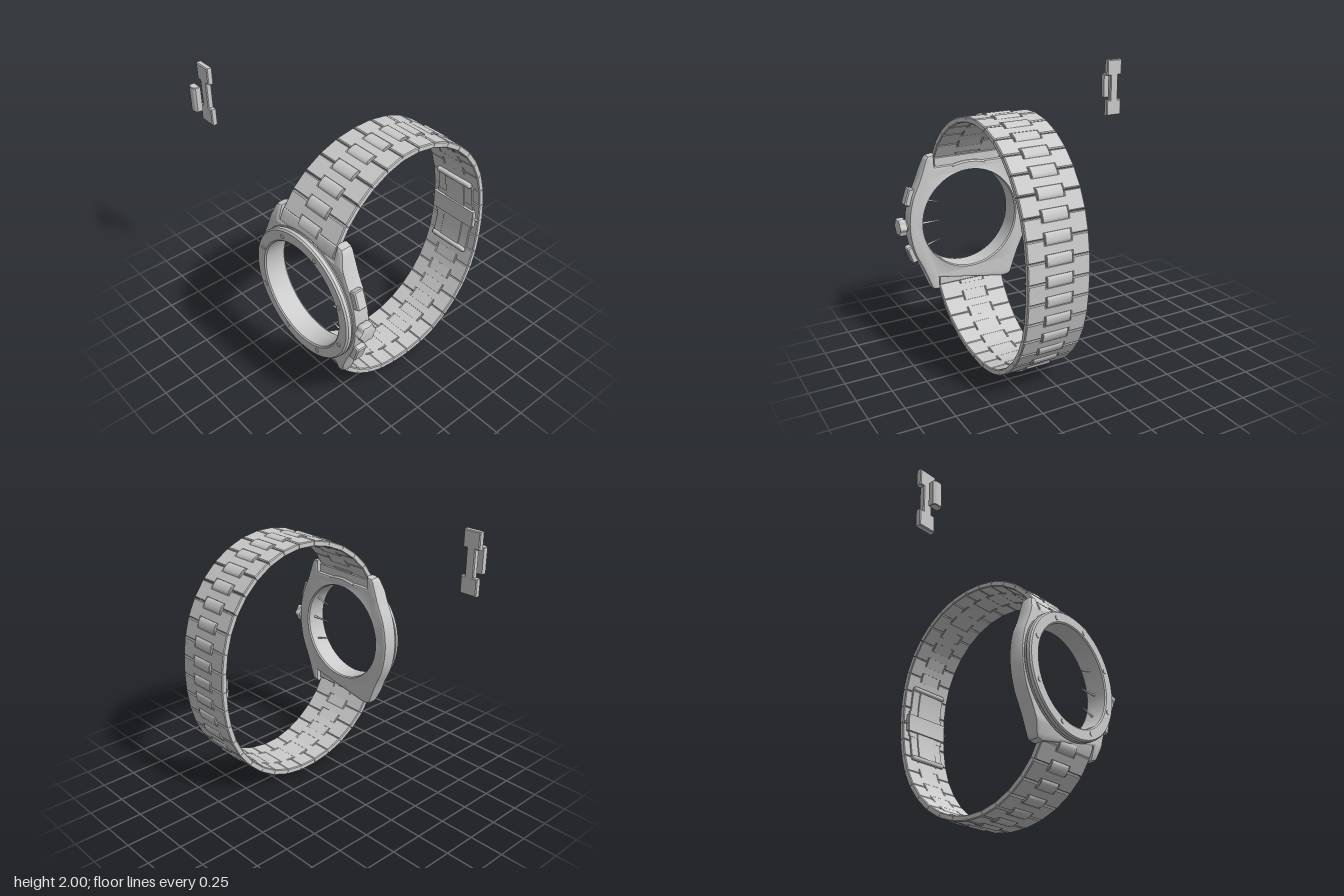
import * as THREE from 'three';
import { toCreasedNormals } from 'three/addons/utils/BufferGeometryUtils.js';

const CX = 0.37, CY = 0.91; // watch centre
const grey = new THREE.MeshStandardMaterial({ color: 0xcccccc });

function add(parent, name, geometry, crease = 0.5) {
  const mesh = new THREE.Mesh(toCreasedNormals(geometry, crease), grey);
  mesh.name = name;
  parent.add(mesh);
  return mesh;
}

const polygon = pts => new THREE.Shape(pts.map(p => new THREE.Vector2(p[0], p[1])));

// Extrusion centred on z = 0 with a bevel that stays inside the outline
function slab(shape, depth, bevel, curveSegments = 12, bevelSegments = 1) {
  const g = new THREE.ExtrudeGeometry(shape, {
    depth: depth - 2 * bevel, bevelEnabled: bevel > 0, bevelThickness: bevel, bevelSize: bevel,
    bevelOffset: -bevel, bevelSegments, curveSegments,
  });
  return g.translate(0, 0, -(depth / 2 - bevel));
}

// Side profile given as [z, y], extruded across x
function across(profile, width, bevel = 0.004) {
  return slab(polygon(profile.map(([z, y]) => [-z, y])), width, bevel)
    .rotateY(Math.PI / 2).translate(CX, 0, 0);
}

// H-shaped bracelet link, its length along y and its width along x
const NOTCH = 0.095, BAR = 0.034;
function linkGeometry(len, w0, w1) {
  const h = len / 2 - 0.0015;
  return slab(polygon([
    [-w0, -h], [-NOTCH, -h], [-NOTCH, -BAR], [NOTCH, -BAR], [NOTCH, -h], [w0, -h],
    [w1, h], [NOTCH, h], [NOTCH, BAR], [-NOTCH, BAR], [-NOTCH, h], [-w1, h],
  ]), 0.042, 0.006);
}

// Small centre link with a domed outer face
function centreLinkGeometry(len) {
  const h = len / 2;
  return slab(polygon([
    [-0.024, -h], [0.014, -h], [0.023, -h + 0.009], [0.028, -h + 0.024],
    [0.028, h - 0.024], [0.023, h - 0.009], [0.014, h], [-0.024, h],
  ]), 0.184, 0.004).rotateY(-Math.PI / 2);
}

function buildCase() {
  const group = new THREE.Group();
  group.name = 'watchCase';
  group.position.set(CX, CY, 0);

  // Middle case with four lugs
  const side = new THREE.CatmullRomCurve3([
    [0.33, 0.495], [0.385, 0.345], [0.452, 0.19], [0.48, 0],
    [0.452, -0.19], [0.385, -0.345], [0.33, -0.495],
  ].map(p => new THREE.Vector3(p[0], p[1], 0))).getPoints(36).map(p => [p.x, p.y]);
  const half = [[0.265, 0.525], [0.315, 0.515], ...side, [0.315, -0.515], [0.265, -0.525], [0.265, -0.43]];
  const shape = polygon([[0.265, 0.43], ...half, ...half.map(([x, y]) => [-x, -y]), [-0.265, 0.43]].slice(0, -1));
  shape.holes.push(new THREE.Path().absarc(0, 0, 0.4, 0, Math.PI * 2, true));
  const body = slab(shape, 0.118, 0.02, 48, 2).translate(0, 0, 0.636);
  const pos = body.attributes.position;
  for (let i = 0; i < pos.count; i++) { // lug tips slope back
    const t = Math.max(0, Math.abs(pos.getY(i)) - 0.41) / 0.115;
    if (pos.getZ(i) > 0.64) pos.setZ(i, pos.getZ(i) - 0.035 * t);
  }
  add(group, 'middleCase', body, 0.4);

  // Bezel with its inner wall reaching the case back
  const ring = [
    [0.385, 0.578], [0.435, 0.578], [0.445, 0.59], [0.445, 0.69], [0.465, 0.694], [0.465, 0.7],
    [0.458, 0.703], [0.458, 0.71], [0.465, 0.713], [0.463, 0.735], [0.453, 0.746],
    [0.384, 0.746], [0.374, 0.738], [0.374, 0.59], [0.385, 0.578],
  ].map(p => new THREE.Vector2(p[0], p[1]));
  add(group, 'bezel', new THREE.LatheGeometry(ring, 96).rotateX(Math.PI / 2).scale(1, 1, 1));
  for (let i = 0; i < 8; i++) {
    const a = Math.PI / 8 + i * Math.PI / 4;
    add(group, 'bezelScrew', new THREE.CylinderGeometry(0.016, 0.018, 0.01, 20).rotateX(Math.PI / 2))
      .position.set(0.412 * Math.cos(a), 0.412 * Math.sin(a), 0.745);
  }

  // Scalloped crown and its stem
  const lobes = [];
  for (let i = 0; i < 72; i++) {
    const a = i / 72 * Math.PI * 2, r = 0.063 + 0.006 * Math.cos(6 * a);
    lobes.push([r * Math.cos(a), r * Math.sin(a)]);
  }
  add(group, 'crown', slab(polygon(lobes), 0.06, 0.012, 12, 2).rotateY(Math.PI / 2)).position.set(0.52, 0, 0.65);
  add(group, 'crownNeck', new THREE.CylinderGeometry(0.04, 0.04, 0.05, 24).rotateZ(Math.PI / 2)).position.set(0.475, 0, 0.65);
  add(group, 'crownStem', new THREE.CylinderGeometry(0.005, 0.009, 0.17, 12).rotateZ(Math.PI / 2)).position.set(0.305, 0, 0.65);

  // Push buttons with their inner pins
  for (const s of [1, -1]) {
    const button = polygon([[-0.04, -0.065], [0.018, -0.065], [0.026, -0.058], [0.026, 0.058], [0.018, 0.065], [-0.04, 0.065]]);
    const push = add(group, 'pushButton', slab(button, 0.076, 0.008));
    push.position.set(0.453, s * 0.22, 0.648);
    push.rotation.z = s * 0.33;
    const pin = add(group, 'pushButtonPin', new THREE.CylinderGeometry(0.004, 0.01, 0.17, 12).rotateZ(Math.PI / 2));
    pin.position.set(0.3, s * 0.168, 0.65);
    pin.rotation.z = s * 0.3;
  }
  return group;
}

function buildBracelet() {
  const group = new THREE.Group();
  group.name = 'bracelet';
  const my = 0.906; // mirror height of the loop
  const upper = [
    [0.635, 1.4], [0.55, 1.53], [0.42, 1.648], [0.27, 1.732], [0.1, 1.778], [-0.07, 1.782], [-0.2, 1.755],
    [-0.33, 1.7], [-0.45, 1.613], [-0.55, 1.505], [-0.63, 1.375], [-0.68, 1.24], [-0.71, 1.08],
  ];
  const lower = upper.map(([z, y]) => [z, 2 * my - y]).reverse();
  const curve = new THREE.CatmullRomCurve3(
    [...upper, [-0.72, my], ...lower].map(([z, y]) => new THREE.Vector3(CX, y, z)), false, 'centripetal');
  const N = 30, nodes = curve.getSpacedPoints(N);
  const halfWidth = p => 0.222 + 0.038 * Math.max(0, p.z - 0.05) / 0.58;
  const xAxis = new THREE.Vector3(1, 0, 0);
  const place = (mesh, at, tangent) => {
    const normal = new THREE.Vector3().crossVectors(xAxis, tangent);
    mesh.quaternion.setFromRotationMatrix(new THREE.Matrix4().makeBasis(xAxis, tangent, normal));
    mesh.position.copy(at);
  };
  for (let i = 0; i <= N; i++) {
    place(add(group, 'centreLink', centreLinkGeometry(0.084)), nodes[i], curve.getTangentAt(i / N));
    if (i === N) break;
    const a = nodes[i], b = nodes[i + 1], dir = b.clone().sub(a), len = dir.length();
    place(add(group, 'outerLink', linkGeometry(len, halfWidth(a), halfWidth(b))),
      a.clone().add(b).multiplyScalar(0.5), dir.normalize());
  }

  // End links filling the space between the lugs
  for (const s of [1, -1]) {
    const profile = [[0.6, 0.4], [0.685, 0.4], [0.682, 0.445], [0.655, 0.5], [0.63, 0.515], [0.6, 0.49]]
      .map(([z, y]) => [z, CY + s * y]);
    add(group, 'endLink', across(profile, 0.52));
  }
  return group;
}

function buildClasp() {
  const group = new THREE.Group();
  group.name = 'foldingClasp';
  // Curved blade following the inside of the bracelet
  const blade = (name, inner, thick, h, width) => {
    const z = y => inner + 0.4 * (y - CY) ** 2, pts = [];
    for (let i = 0; i <= 12; i++) { const y = CY - h + i * h / 6; pts.push([z(y), y]); }
    for (let i = 12; i >= 0; i--) { const y = CY - h + i * h / 6; pts.push([z(y) - thick, y]); }
    add(group, name, across(pts, width, 0.003));
  };
  blade('claspBlade', -0.688, 0.022, 0.3, 0.32);
  blade('claspCentreBlade', -0.68, 0.026, 0.3, 0.18);
  blade('claspShoulder', -0.686, 0.026, 0.105, 0.345);
  blade('claspBlock', -0.667, 0.05, 0.068, 0.385);
  for (const s of [1, -1]) {
    add(group, 'claspHinge', new THREE.CapsuleGeometry(0.019, 0.285, 4, 16).rotateZ(Math.PI / 2))
      .position.set(CX, CY + s * 0.285, -0.65);
  }
  add(group, 'claspPin', new THREE.CylinderGeometry(0.008, 0.008, 0.44, 12).rotateZ(Math.PI / 2))
    .position.set(CX, CY, -0.69);
  return group;
}

function buildSpareLink() {
  const group = new THREE.Group();
  group.name = 'spareLink';
  group.position.set(-0.857, 1.783, 0);
  add(group, 'spareOuterLink', linkGeometry(0.133, 0.217, 0.217).rotateZ(Math.PI / 2)).position.z = 0.545;
  add(group, 'spareCentreLink', centreLinkGeometry(0.074).rotateZ(Math.PI / 2)).position.z = 0.636;
  return group;
}

export function createModel() {
  const model = new THREE.Group();
  model.name = 'wristwatch';
  model.add(buildCase(), buildBracelet(), buildClasp(), buildSpareLink());
  return model;
}
